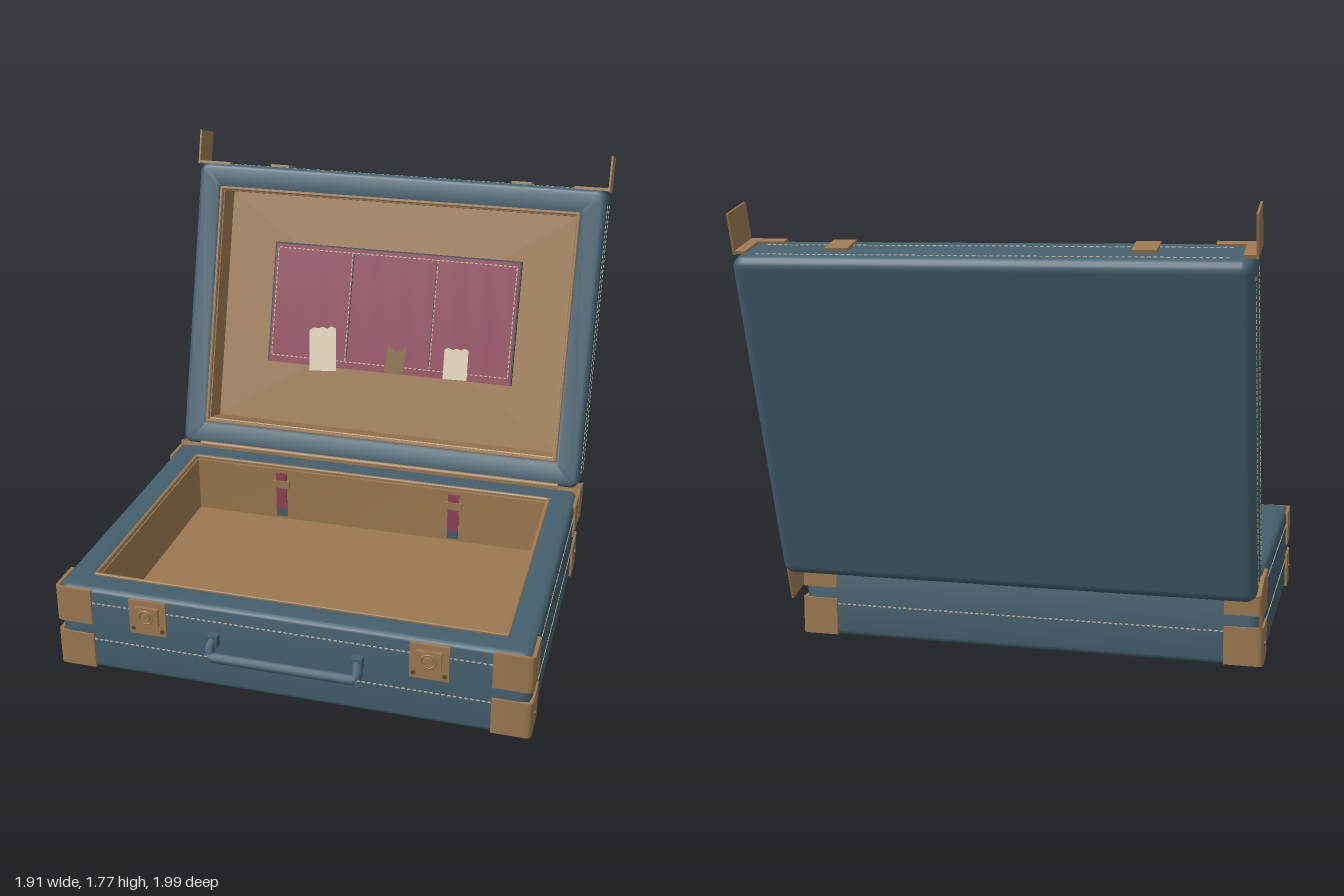
import * as THREE from 'three';
import { mergeGeometries, toCreasedNormals } from 'three/addons/utils/BufferGeometryUtils.js';

const mat = (name, color, extra = {}) => Object.assign(new THREE.MeshStandardMaterial({ color, ...extra }), { name });

// Rounded-rectangle rings [inset, height] joined into a skin, closed at its start or end
function loft(halfW, halfD, radius, profile, cap) {
  const pos = [], idx = [], steps = 6, n = 4 * (steps + 1);
  for (const [inset, h] of profile) {
    const w = halfW - inset, d = halfD - inset, r = Math.max(radius - inset, 0.006);
    for (let c = 0; c < 4; c++) for (let s = 0; s <= steps; s++) {
      const a = (c + s / steps) * Math.PI / 2;
      const sx = c === 0 || c === 3 ? 1 : -1, sy = c < 2 ? 1 : -1;
      pos.push(sx * (w - r) + r * Math.cos(a), h, -(sy * (d - r) + r * Math.sin(a)));
    }
  }
  for (let i = 0; i < profile.length - 1; i++) for (let j = 0; j < n; j++) {
    const k = (j + 1) % n, a = i * n + j, b = i * n + k;
    idx.push(a, b, b + n, a, b + n, a + n);
  }
  const end = cap === 'end', row = end ? (profile.length - 1) * n : 0;
  pos.push(0, profile[end ? profile.length - 1 : 0][1], 0);
  const centre = pos.length / 3 - 1;
  for (let j = 0; j < n; j++) {
    const a = row + j, b = row + (j + 1) % n;
    idx.push(centre, end ? a : b, end ? b : a);
  }
  const g = new THREE.BufferGeometry();
  g.setAttribute('position', new THREE.Float32BufferAttribute(pos, 3));
  g.setIndex(idx);
  return toCreasedNormals(g, 0.6);
}

// Quarter-round run of profile points from angle a0 to a1
const round = (ci, ch, r, a0, a1) => Array.from({ length: 6 }, (_, i) => {
  const a = a0 + (a1 - a0) * i / 5;
  return [ci - r * Math.cos(a), ch + r * Math.sin(a)];
});

// Leather shell and fabric lining for one half of the case
const shell = (w, d, bottom, top, r) => loft(w, d, 0.045, [
  [r + 0.006, bottom],
  ...round(r, bottom + r, r, -Math.PI / 2, 0),
  ...round(0.024, top - 0.024, 0.024, 0, Math.PI / 2),
  ...round(0.095, top - 0.02, 0.02, Math.PI / 2, Math.PI),
  [0.115, top - 0.03]], 'start');
const lining = (w, d, floor, top) => loft(w, d, 0.05, [
  [0.108, top - 0.03], [0.108, top + 0.002], [0.111, top + 0.005], [0.118, top + 0.005],
  [0.122, top], [0.122, top - 0.012], [0.127, top - 0.014], [0.127, floor]], 'end');

// Row of thread dashes between two points
function dashes(a, b, size = 0.005) {
  const A = new THREE.Vector3(...a), B = new THREE.Vector3(...b);
  const count = Math.max(2, Math.round(A.distanceTo(B) / 0.022));
  const turn = new THREE.Quaternion().setFromUnitVectors(new THREE.Vector3(1, 0, 0), B.clone().sub(A).normalize());
  return Array.from({ length: count }, (_, i) => {
    const p = A.clone().lerp(B, (i + 0.5) / count);
    return new THREE.BoxGeometry(0.013, size, size).applyQuaternion(turn).translate(p.x, p.y, p.z);
  });
}

// L-shaped corner guard, corner at the origin, hanging down from y = 0
function guardGeometry(len, t, h) {
  const r = 0.024, s = new THREE.Shape();
  s.moveTo(-len, 0).lineTo(-r, 0).quadraticCurveTo(0, 0, 0, -r).lineTo(0, -len);
  s.lineTo(-t, -len).lineTo(-t, -r).quadraticCurveTo(-t, -t, -r, -t).lineTo(-len, -t);
  const g = new THREE.ExtrudeGeometry(s, { depth: h, bevelEnabled: false, curveSegments: 6 });
  return toCreasedNormals(g.rotateX(Math.PI / 2), 0.4);
}

export function createModel() {
  const leather = mat('blue leather', 0x445f6d), tan = mat('tan fabric and brass', 0x9c7850);
  const crimson = mat('crimson cloth', 0x8d4257, { side: THREE.DoubleSide }), thread = mat('thread', 0xc4b294);
  const cream = mat('cream paper', 0xd8ccb4, { side: THREE.DoubleSide });
  const brown = mat('brown paper', 0x80643c, { side: THREE.DoubleSide });
  const dark = mat('dark screw', 0x5f482c), trim = mat('dark trim', 0x2f3f4a);

  const model = new THREE.Group();
  model.name = 'openSuitcase';
  const add = (parent, name, geo, m, x = 0, y = 0, z = 0) => {
    const mesh = new THREE.Mesh(geo, m);
    mesh.name = name;
    mesh.position.set(x, y, z);
    parent.add(mesh);
    return mesh;
  };
  const box = (p, name, m, w, h, d, x, y, z) => add(p, name, new THREE.BoxGeometry(w, h, d), m, x, y, z);
  const disc = (r, h) => new THREE.CylinderGeometry(r, r, h, 20);

  // Base tray
  const base = new THREE.Group();
  base.name = 'base';
  model.add(base);
  const W = 0.941, BZ = 0.2575, BD = 0.669;
  add(base, 'baseShell', shell(W, BD, 0.004, 0.365, 0.02), leather, 0, 0, BZ);
  add(base, 'baseLining', lining(W, BD, 0.1, 0.365), tan, 0, 0, BZ);
  const seams = [];
  for (const y of [0.303, 0.138]) for (const s of [1, -1]) {
    seams.push(...dashes([-0.8, y, BZ + s * BD], [0.8, y, BZ + s * BD]));
    seams.push(...dashes([s * W, y, BZ - 0.53], [s * W, y, BZ + 0.53]));
  }
  add(base, 'baseStitching', mergeGeometries(seams), thread);

  // Corner guards with a screw on each lower side
  const guard = guardGeometry(0.153, 0.014, 0.152);
  for (const sx of [1, -1]) for (const sz of [1, -1]) {
    for (const top of [0.36, 0.16]) {
      add(base, 'cornerGuard', guard, tan, sx * 0.95, top, BZ + sz * 0.677).scale.set(sx, 1, sz);
    }
    add(base, 'guardScrew', disc(0.011, 0.008).rotateZ(Math.PI / 2), dark, sx * 0.952, 0.085, BZ + sz * 0.615);
  }

  // Front latches
  for (const s of [1, -1]) {
    const latch = new THREE.Group();
    latch.name = 'latch';
    latch.position.set(s * 0.56, 0.277, 0.925);
    base.add(latch);
    box(latch, 'latchPlate', tan, 0.152, 0.15, 0.018, 0, 0, 0.002);
    box(latch, 'latchBody', tan, 0.098, 0.078, 0.024, 0, 0.013, 0.013);
    add(latch, 'latchRing', new THREE.TorusGeometry(0.028, 0.004, 8, 20), tan, 0, 0.013, 0.026);
    add(latch, 'latchButton', disc(0.02, 0.012).rotateX(Math.PI / 2), tan, 0, 0.013, 0.029);
    for (const t of [1, -1]) add(latch, 'latchScrew', disc(0.009, 0.008).rotateX(Math.PI / 2), dark, t * 0.06, -0.052, 0.01);
  }

  // Carry handle
  const path = new THREE.CatmullRomCurve3([
    [-0.287, 0.238, 0.945], [-0.294, 0.205, 0.965], [-0.288, 0.18, 0.977], [-0.26, 0.177, 0.979],
    [0.26, 0.177, 0.979], [0.288, 0.18, 0.977], [0.294, 0.205, 0.965], [0.287, 0.238, 0.945]
  ].map(p => new THREE.Vector3(...p)), false, 'catmullrom', 0.3);
  add(base, 'handle', new THREE.TubeGeometry(path, 60, 0.021, 10), leather);
  for (const s of [1, -1]) {
    box(base, 'handleMount', leather, 0.042, 0.05, 0.045, s * 0.287, 0.231, 0.94);
  }

  // Straps on the inner back wall
  for (const s of [1, -1]) {
    box(base, 'strap', crimson, 0.05, 0.185, 0.008, s * 0.405, 0.242, -0.28);
    box(base, 'strapTip', leather, 0.05, 0.035, 0.008, s * 0.405, 0.132, -0.28);
    box(base, 'strapBuckle', tan, 0.08, 0.035, 0.016, s * 0.405, 0.28, -0.278);
  }

  // Hinge along the back edge
  add(model, 'hingeBarrel', disc(0.012, 1.7).rotateZ(Math.PI / 2), tan, 0, 0.371, -0.42);
  box(model, 'hingeLeaf', tan, 1.7, 0.06, 0.01, 0, 0.338, -0.413);

  // Lid: local y runs up the lid, local z faces out of its opening
  const lid = new THREE.Group();
  lid.name = 'lid';
  lid.position.set(0, 0.367, -0.415);
  lid.rotation.x = -0.292;
  model.add(lid);
  const H = 1.326, T = 0.216;
  add(lid, 'lidShell', shell(W, H / 2, -T, 0, 0.04).rotateX(Math.PI / 2), leather, 0, H / 2, 0);
  add(lid, 'lidLining', lining(W, H / 2, -0.142, 0).rotateX(Math.PI / 2), tan, 0, H / 2 + 0.004, 0);
  box(lid, 'lidHingeLeaf', tan, 1.7, 0.008, 0.07, 0, -0.002, -0.04);
  const lidSeams = [];
  for (const z of [-0.06, -0.168]) {
    for (const s of [1, -1]) lidSeams.push(...dashes([s * W, 0.06, z], [s * W, H - 0.06, z]));
    for (const y of [0, H]) lidSeams.push(...dashes([-0.86, y, z], [0.86, y, z]));
  }
  add(lid, 'lidStitching', mergeGeometries(lidSeams), thread);

  // Lid guards standing past both ends, and catches on the top edge
  for (const s of [1, -1]) {
    for (const [y, dir] of [[H, 1], [0, -1]]) {
      box(lid, 'lidGuardPlate', tan, 0.008, 0.155, 0.152, s * 0.947, y + dir * 0.07, -0.08);
      box(lid, 'lidGuardSide', tan, 0.045, 0.012, 0.15, s * 0.922, y + dir * 0.002, -0.08);
      box(lid, 'lidGuardLip', tan, 0.15, 0.012, 0.035, s * 0.87, y + dir * 0.002, -0.024);
    }
    box(lid, 'catch', tan, 0.088, 0.016, 0.1, s * 0.56, H + 0.004, -0.076);
  }

  // Pocket panel with soft folds, a dark border and stitched dividers
  const py = 0.697;
  box(lid, 'pocketBorder', trim, 1.168, 0.566, 0.022, 0, py + 0.003, -0.133);
  const cloth = new THREE.PlaneGeometry(1.154, 0.56, 80, 6), cp = cloth.attributes.position;
  for (let i = 0; i < cp.count; i++) cp.setZ(i, 0.0012 * Math.sin(cp.getX(i) * 48 + cp.getY(i) * 5));
  cloth.computeVertexNormals();
  add(lid, 'pocketCloth', cloth, crimson, 0, py, -0.12);
  const zs = -0.117, top = py + 0.262, low = py - 0.247;
  for (const x of [-0.2, 0.195]) box(lid, 'pocketDivider', trim, 0.004, 0.52, 0.004, x, py + 0.01, -0.119);
  add(lid, 'pocketStitching', mergeGeometries([
    ...dashes([-0.565, top, zs], [0.565, top, zs]), ...dashes([-0.565, low, zs], [0.565, low, zs]),
    ...[-0.565, -0.205, 0.2, 0.565].flatMap(x => dashes([x, low, zs], [x, top, zs]))
  ]), thread);

  // Torn papers tucked against the pocket; last list gives the ragged top edge
  const paper = (name, m, x, y, w, tilt, edge) => {
    const s = new THREE.Shape();
    s.moveTo(-w / 2, 0).lineTo(w / 2, 0);
    edge.forEach((h, i) => s.lineTo(w / 2 - w * i / (edge.length - 1), h));
    add(lid, name, new THREE.ShapeGeometry(s), m, x, y, -0.102).rotation.z = tilt;
  };
  paper('largePaper', cream, -0.305, 0.398, 0.13, 0.07, [0.2, 0.21, 0.2, 0.207, 0.2, 0.203, 0.19]);
  paper('brownPaper', brown, 0.033, 0.42, 0.088, -0.09, [0.14, 0.115, 0.1, 0.112, 0.138]);
  paper('smallPaper', cream, 0.325, 0.42, 0.112, 0.02, [0.14, 0.147, 0.138, 0.145, 0.137, 0.146, 0.138]);

  return model;
}
